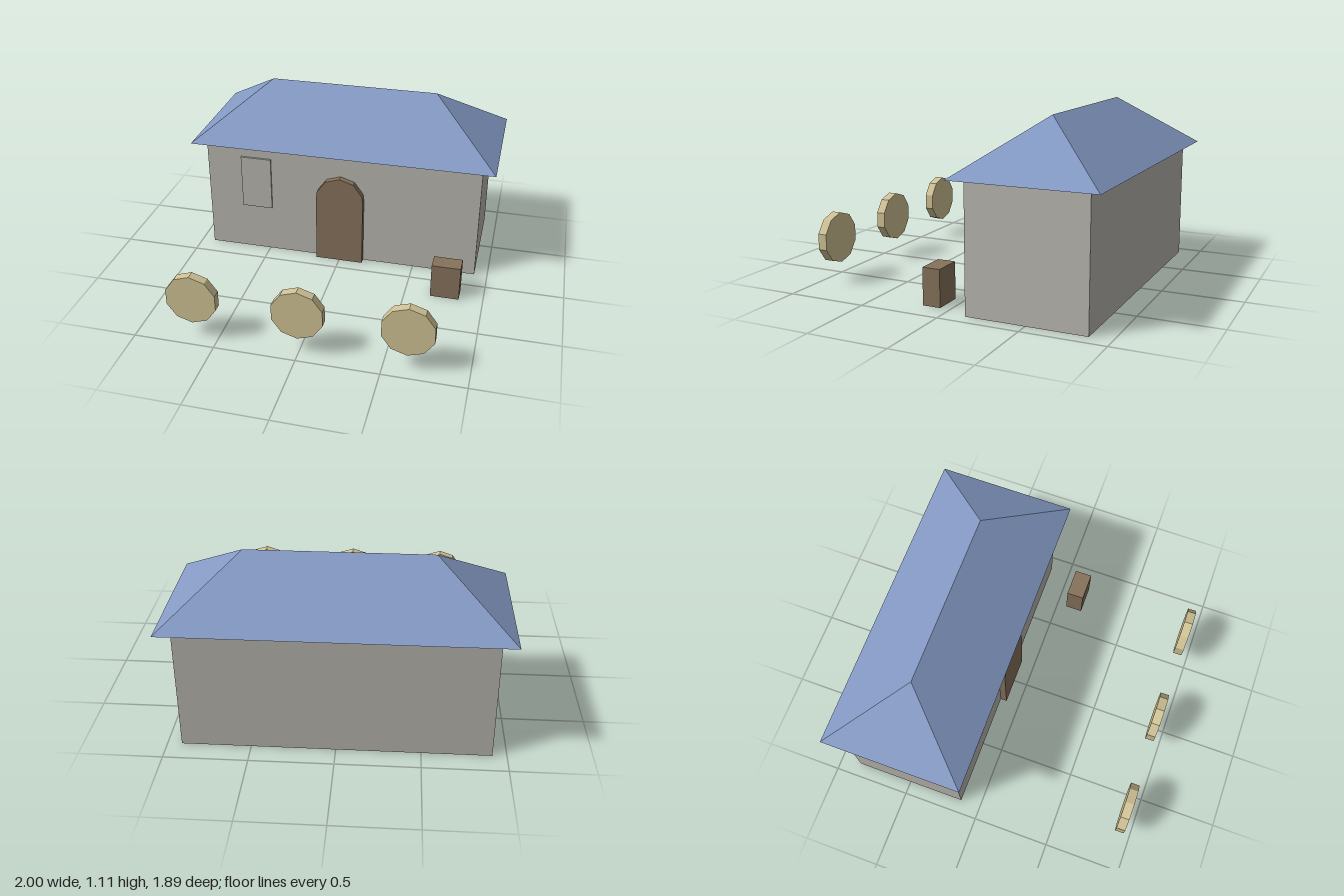
import * as THREE from 'three';

const flat = (name, color) => {
  const m = new THREE.MeshStandardMaterial({ color, flatShading: true });
  m.name = name;
  return m;
};

export function createModel() {
  const group = new THREE.Group();
  const plaster = flat('plaster', 0xb9b6af);
  const slate = flat('blueRoof', 0x8499c3);
  const wood = flat('wood', 0x86725b);
  const straw = flat('straw', 0xd0c295);

  const add = (name, geometry, material) => {
    const mesh = new THREE.Mesh(geometry, material);
    mesh.name = name;
    group.add(mesh);
  };
  // Box given by its extents on each axis
  const box = (name, material, [x0, x1], [y0, y1], [z0, z1]) => {
    const g = new THREE.BoxGeometry(x1 - x0, y1 - y0, z1 - z0);
    g.translate((x0 + x1) / 2, (y0 + y1) / 2, (z0 + z1) / 2);
    add(name, g, material);
  };

  // House body and shuttered window panel
  box('walls', plaster, [-0.915, 0.915], [0, 0.785], [-0.867, -0.133]);
  box('windowPanel', plaster, [-0.68, -0.475], [0.325, 0.69], [-0.14, -0.12]);

  // Hipped roof: four eave corners and two ridge ends, closed underneath
  const zF = -0.056, zB = -0.947, zR = -0.5015, eave = 0.783, ridge = 1.112;
  const roof = new THREE.BufferGeometry();
  roof.setAttribute('position', new THREE.Float32BufferAttribute([
    -1, eave, zF, 1, eave, zF, 1, eave, zB, -1, eave, zB,
    -0.553, ridge, zR, 0.553, ridge, zR,
  ], 3));
  roof.setIndex([
    0, 1, 5, 0, 5, 4, // front slope
    2, 3, 4, 2, 4, 5, // back slope
    1, 2, 5, 3, 0, 4, // hips
    0, 3, 2, 0, 2, 1, // underside
  ]);
  const roofFaces = roof.toNonIndexed();
  roofFaces.computeVertexNormals();
  add('roof', roofFaces, slate);

  // Round-topped door: straight sides below a ten-sided arch
  const door = new THREE.Shape();
  door.moveTo(-0.158, 0);
  door.lineTo(0.158, 0);
  door.lineTo(0.158, 0.46);
  for (let i = 1; i <= 9; i += 2) {
    const a = i * Math.PI / 10;
    door.lineTo(0.16 * Math.cos(a), 0.46 + 0.16 * Math.sin(a));
  }
  door.lineTo(-0.158, 0.46);
  const doorGeo = new THREE.ExtrudeGeometry(door, { depth: 0.05, bevelEnabled: false });
  doorGeo.translate(0, 0, -0.141);
  add('door', doorGeo, wood);

  // Crate in front of the house
  box('crate', wood, [0.664, 0.848], [0, 0.23], [0.065, 0.178]);

  // Row of ten-sided discs
  [-0.643, 0, 0.643].forEach((x, i) => {
    const disc = new THREE.CylinderGeometry(0.16, 0.16, 0.057, 10);
    disc.rotateX(Math.PI / 2);
    disc.translate(x, 0.28, 0.9185);
    add(`disc${i + 1}`, disc, straw);
  });

  return group;
}
